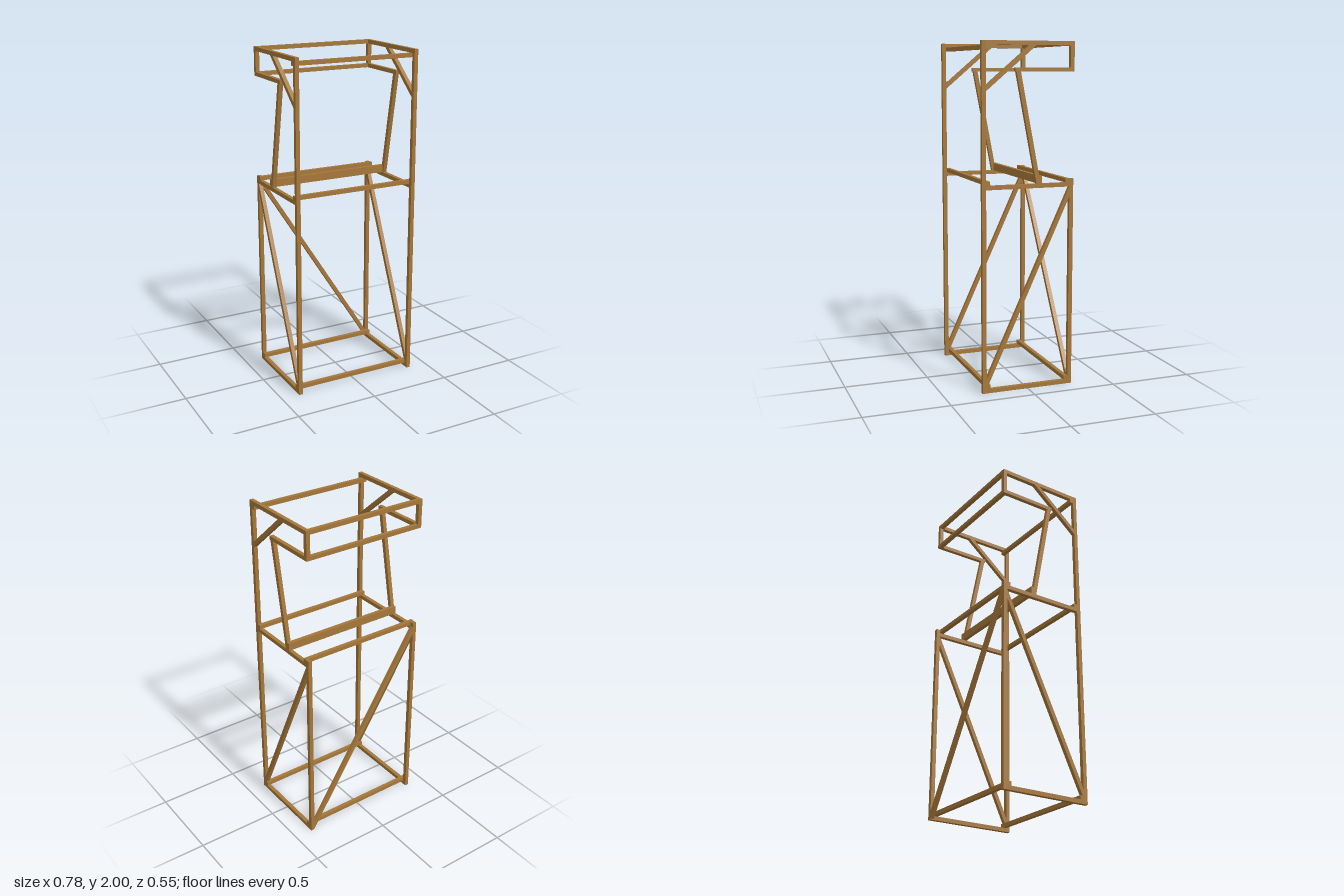
import * as THREE from 'three';

const T = 0.024;                 // timber thickness
const W = 0.389, D = 0.277;      // outer half width and half depth
const XC = W - T / 2, ZC = D - T / 2;

export function createModel() {
  const model = new THREE.Group();
  const wood = new THREE.MeshStandardMaterial({ color: 0xa5773a });
  wood.name = 'wood';

  const add = (name, geometry) => {
    const mesh = new THREE.Mesh(geometry, wood);
    mesh.name = name;
    model.add(mesh);
    return mesh;
  };

  // Straight timber given by its lower and upper corner
  const bar = (name, x0, x1, y0, y1, z0, z1) =>
    add(name, new THREE.BoxGeometry(x1 - x0, y1 - y0, z1 - z0))
      .position.set((x0 + x1) / 2, (y0 + y1) / 2, (z0 + z1) / 2);

  // Sloping timber cut to fit, drawn as a flat outline and extruded
  const sloped = (name, points) => {
    const shape = new THREE.Shape(points.map(([a, y]) => new THREE.Vector2(a, y)));
    return add(name, new THREE.ExtrudeGeometry(shape, { depth: T, bevelEnabled: false }));
  };

  // Both sides: posts, rails and braces
  for (const [side, s] of [['left', 1], ['right', -1]]) {
    const x0 = s * XC - T / 2, x1 = s * XC + T / 2;
    const inner = D - T;
    bar(side + 'FrontPost', x0, x1, 0, 2, inner, D);
    bar(side + 'BackPost', x0, x1, 0, 1.224, -D, -inner);
    bar(side + 'UpperBackPost', x0, x1, 1.83, 2, -D, -inner);
    bar(side + 'BottomRail', x0, x1, 0, T, -inner, inner);
    bar(side + 'MiddleRail', x0, x1, 1.178, 1.202, -inner, inner);
    bar(side + 'TopRail', x0, x1, 1.976, 2, -inner, inner);
    bar(side + 'UpperRail', x0, x1, 1.83, 1.853, -inner, 0.08);

    const braces = {
      LowerBrace: [[inner, 0.026], [inner, 0.084], [-inner, 1.178], [-inner, 1.12]],
      TopBrace: [[inner, 1.724], [inner, 1.756], [-0.011, 1.978], [-0.049, 1.978]],
      LeaningPost: [[0.074, 1.835], [0.048, 1.835], [-0.074, 1.2], [-0.049, 1.2]],
    };
    for (const [name, points] of Object.entries(braces)) {
      const mesh = sloped(side + name, points);
      mesh.rotation.y = -Math.PI / 2;
      mesh.position.x = x1;
    }
  }

  // Cross bars lying on or under the side rails
  const f = D - T;
  bar('bottomFrontBar', -W, W, T, 2 * T, f - T, f);
  bar('bottomBackBar', -W, W, T, 2 * T, -f, T - f);
  bar('middleFrontBar', -W, W, 1.202, 1.226, f - T, f);
  bar('middleBackBar', -W, W, 1.202, 1.226, -f, T - f);
  bar('topFrontBar', -W, W, 1.952, 1.976, f - T, f);
  bar('middlePlank', -W, W, 1.202, 1.248, -0.082, -0.058);

  // Back bars between the short upper posts
  bar('topBackBar', T - W, W - T, 1.976, 2, -D, -f);
  bar('upperBackBar', T - W, W - T, 1.83, 1.853, -D, -f);

  // Diagonal across the back
  const e = W - T;
  sloped('backBrace', [[-e, 1.2], [-e, 1.155], [e, 0.006], [e, 0.051]]).position.z = -ZC - T / 2;

  return model;
}
